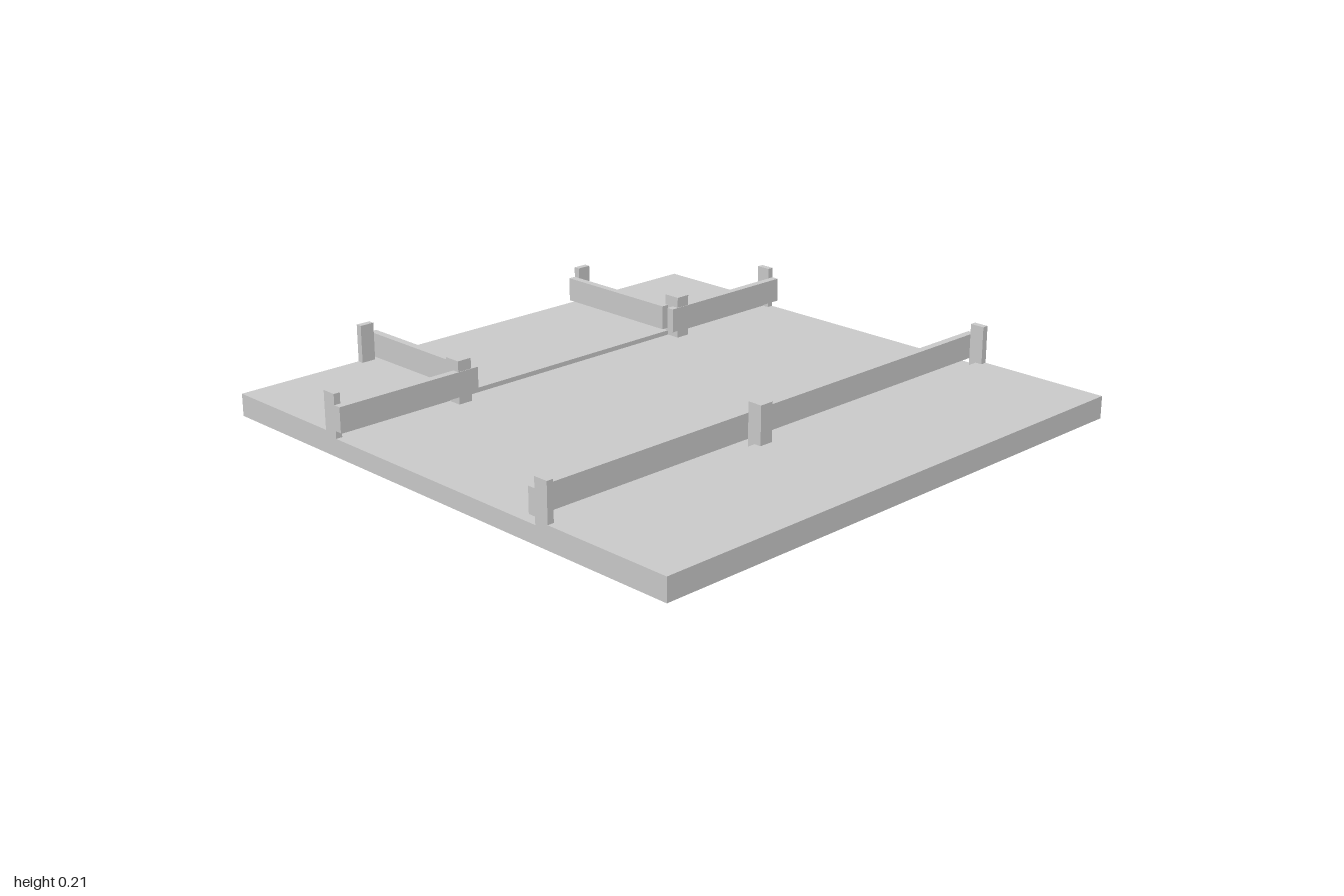
import * as THREE from 'three';

const ROAD = 0.062, WALK = 0.078, POST_TOP = 0.211, RAIL_LOW = 0.088, RAIL_TOP = 0.174;

export function createModel() {
  const group = new THREE.Group();
  const material = new THREE.MeshStandardMaterial({ color: 0xcccccc, flatShading: true });

  // Box given by its limits on each axis
  function block(name, [x0, x1], [y0, y1], [z0, z1]) {
    const mesh = new THREE.Mesh(new THREE.BoxGeometry(x1 - x0, y1 - y0, z1 - z0), material);
    mesh.name = name;
    mesh.position.set((x0 + x1) / 2, (y0 + y1) / 2, (z0 + z1) / 2);
    group.add(mesh);
  }
  const post = (name, x, z) => block(name, x, [ROAD, POST_TOP], z);
  const rail = (name, x, z) => block(name, x, [RAIL_LOW, RAIL_TOP], z);
  // Same z span on the front or back half
  const span = (s, a, b) => (s > 0 ? [a, b] : [-b, -a]);

  // Ground slab: sunken road between two raised pavements
  const profile = new THREE.Shape([
    [-1, 0], [1, 0], [1, WALK], [0.5, WALK], [0.5, ROAD], [-0.5, ROAD], [-0.5, WALK], [-1, WALK],
  ].map(([x, y]) => new THREE.Vector2(x, y)));
  const slab = new THREE.Mesh(new THREE.ExtrudeGeometry(profile, { depth: 2, bevelEnabled: false }), material);
  slab.name = 'groundSlab';
  slab.position.z = -1;
  group.add(slab);

  // Long guard rail on the left pavement
  rail('longRail', [0.445, 0.472], [-1, 1]);
  post('longRailMiddlePost', [0.472, 0.525], [0.08, 0.132]);

  for (const s of [1, -1]) {
    const side = s > 0 ? 'front' : 'back';
    post(`${side}LongRailEndPost`, [0.472, 0.525], span(s, 0.977, 1));

    // L-shaped guard rail around each pavement corner
    rail(`${side}RoadRail`, [-0.475, -0.448], span(s, 0.448, 1));
    rail(`${side}SideRail`, [-1, -0.5], span(s, 0.448, 0.475));
    post(`${side}CornerPost`, [-0.512, -0.45], span(s, 0.475, 0.528));
    post(`${side}RoadRailEndPost`, [-0.528, -0.475], span(s, 0.977, 1));
    post(`${side}SideRailEndPost`, [-1, -0.977], span(s, 0.475, 0.528));
  }
  return group;
}
